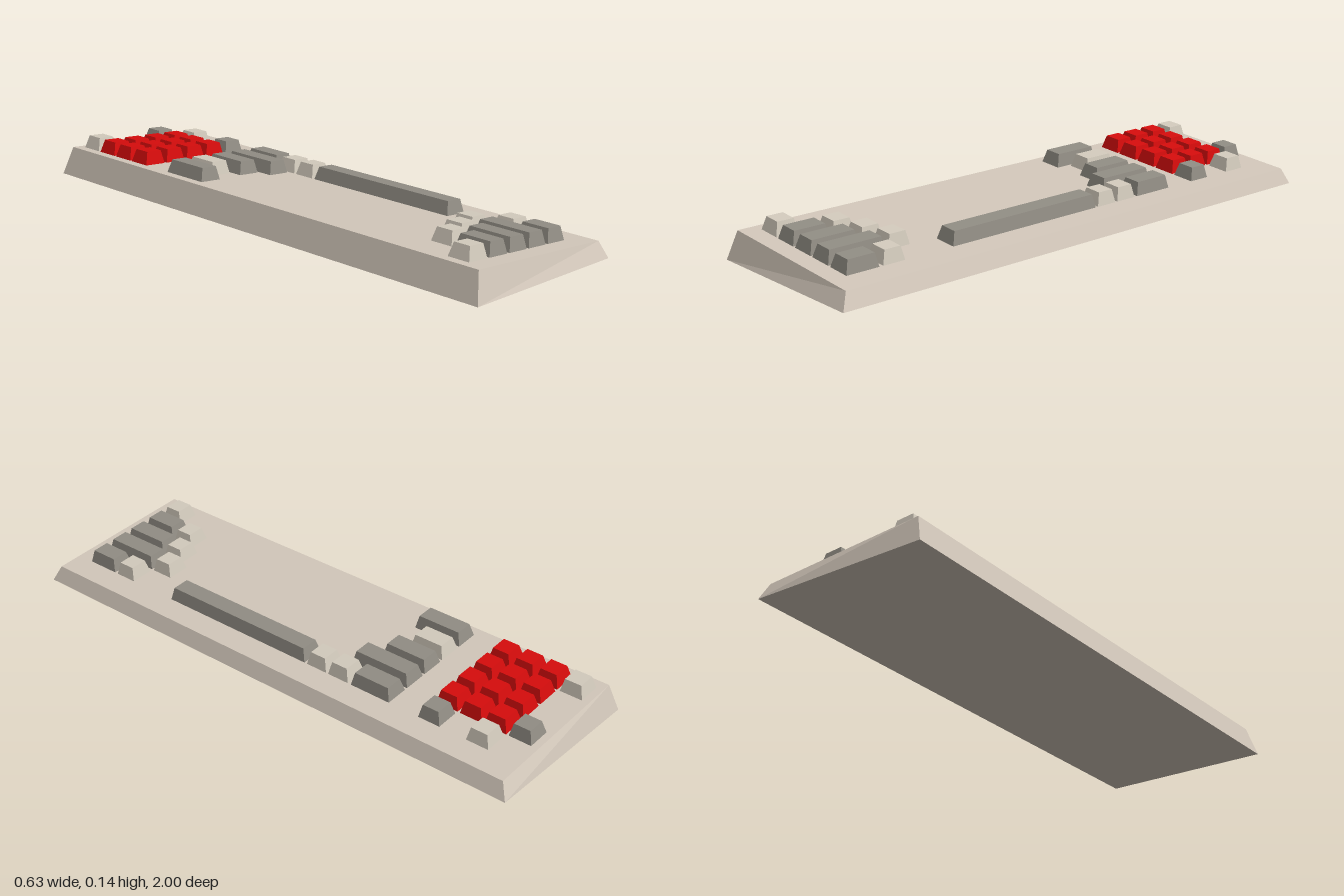
import * as THREE from 'three';

function material(name, color) {
  const m = new THREE.MeshStandardMaterial({ color, flatShading: true });
  m.name = name;
  return m;
}

// Box whose top is drawn in by a fixed inset on all four sides, standing on y = 0
function taperedBox(width, height, depth, inset) {
  const geo = new THREE.BoxGeometry(width, height, depth).translate(0, height / 2, 0);
  const p = geo.attributes.position;
  for (let i = 0; i < p.count; i++) {
    if (p.getY(i) > height / 2) {
      p.setX(i, p.getX(i) - Math.sign(p.getX(i)) * inset);
      p.setZ(i, p.getZ(i) - Math.sign(p.getZ(i)) * inset);
    }
  }
  geo.computeVertexNormals();
  return geo;
}

// Case top plane: high at the left edge, low at the right
const TOP_L = { x: -0.285, y: 0.1 };
const TOP_R = { x: 0.295, y: 0.056 };
const SLOPE = (TOP_R.y - TOP_L.y) / (TOP_R.x - TOP_L.x);
const surfaceY = (x) => TOP_L.y + (x - TOP_L.x) * SLOPE;

function caseGeometry() {
  const geo = new THREE.BoxGeometry(0.632, 0.1, 2).translate(0, 0.05, 0);
  const p = geo.attributes.position;
  for (let i = 0; i < p.count; i++) {
    if (p.getY(i) < 0.05) continue;
    const edge = p.getX(i) < 0 ? TOP_L : TOP_R;
    p.setXYZ(i, edge.x, edge.y, Math.sign(p.getZ(i)) * 0.974);
  }
  geo.computeVertexNormals();
  return geo;
}

export function createModel() {
  const model = new THREE.Group();
  model.name = 'keyboard';
  const caseBeige = material('caseBeige', 0xd2c7ba);
  const keys = {
    light: material('lightKey', 0xd2cabc),
    dark: material('darkKey', 0x918d84),
    red: material('redKey', 0xd60c0c),
  };

  const body = new THREE.Mesh(caseGeometry(), caseBeige);
  body.name = 'case';
  model.add(body);

  const keyWidth = 0.083, keyHeight = 0.046, inset = 0.011;
  const columns = [-0.208, -0.115, -0.0215, 0.071, 0.1645];

  function addKey(col, z0, z1, kind) {
    const key = new THREE.Mesh(taperedBox(keyWidth, keyHeight, z1 - z0, inset), keys[kind]);
    key.name = kind + 'Key';
    key.position.set(columns[col], surfaceY(columns[col]), (z0 + z1) / 2);
    key.rotation.z = Math.atan(SLOPE);
    model.add(key);
  }

  // Red number block: three rows of four
  const rows = [-0.815, -0.7225, -0.63];
  for (const z of rows) {
    for (let col = 0; col < 4; col++) addKey(col, z - 0.0415, z + 0.0415, 'red');
  }

  // Remaining keys: column, back z, front z, kind
  const others = [
    // around the number block
    [0, -0.949, -0.866, 'light'],
    [3, -0.949, -0.866, 'dark'],
    [4, -0.856, -0.773, 'light'],
    [4, -0.671, -0.588, 'dark'],
    // rear group of wide keys
    [0, -0.471, -0.288, 'dark'],
    [1, -0.471, -0.342, 'light'],
    [2, -0.471, -0.299, 'dark'],
    [3, -0.471, -0.244, 'dark'],
    [4, -0.471, -0.315, 'dark'],
    [4, -0.302, -0.219, 'light'],
    [4, -0.21, -0.128, 'light'],
    // space bar
    [4, -0.117, 0.5, 'dark'],
    // front group
    [0, 0.825, 0.908, 'light'],
    [1, 0.677, 0.76, 'light'],
    [1, 0.771, 0.908, 'dark'],
    [2, 0.635, 0.718, 'light'],
    [2, 0.727, 0.908, 'dark'],
    [3, 0.599, 0.682, 'light'],
    [3, 0.692, 0.908, 'dark'],
    [4, 0.689, 0.772, 'light'],
    [4, 0.786, 0.908, 'dark'],
  ];
  for (const key of others) addKey(...key);

  return model;
}
